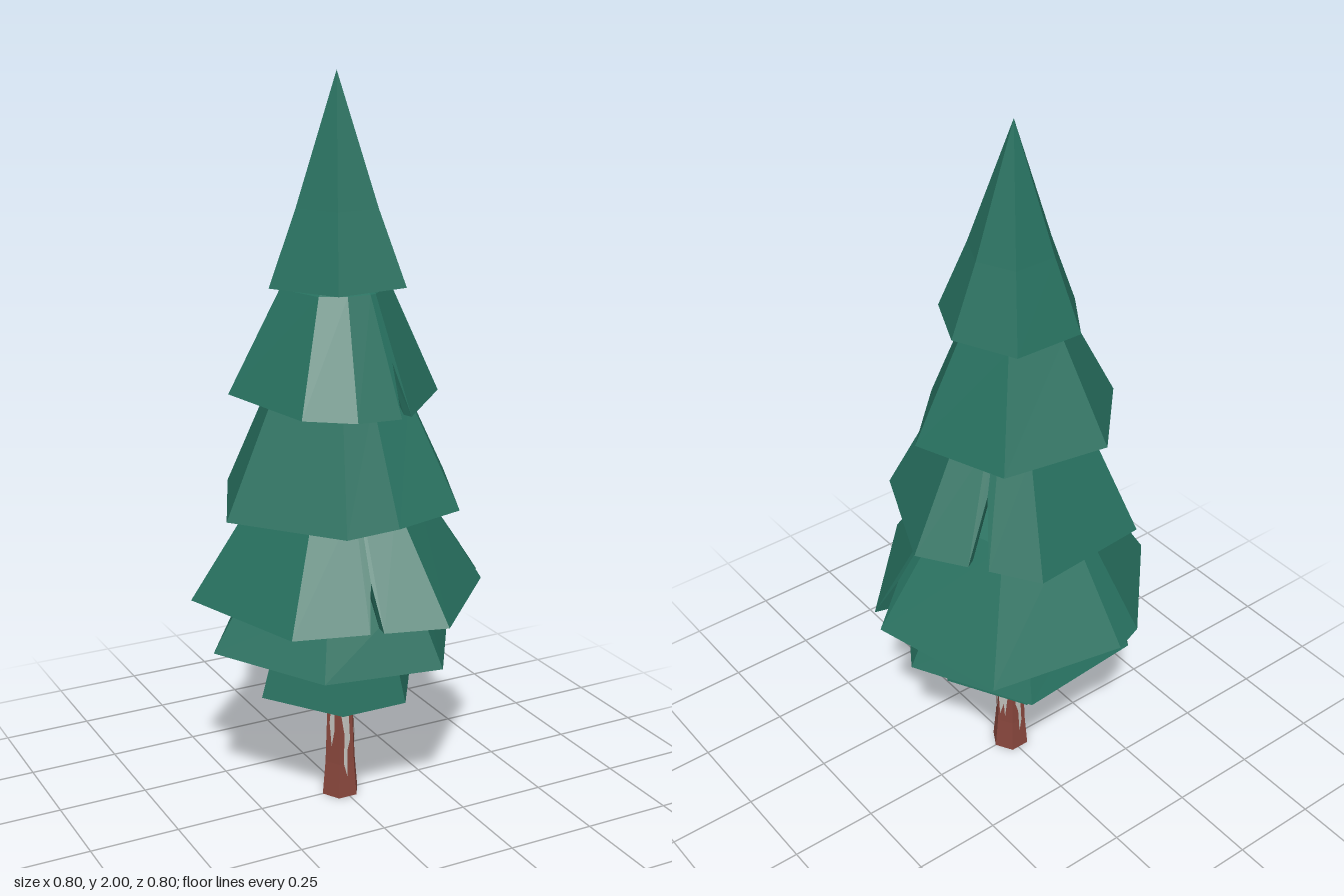
import * as THREE from 'three';

const needles = new THREE.MeshStandardMaterial({ color: 0x27705f });
needles.name = 'pine green';
const bark = new THREE.MeshStandardMaterial({ color: 0x87463c });
bark.name = 'bark brown';
const pale = new THREE.MeshStandardMaterial({ color: 0xbfbfba });
pale.name = 'pale grey';

const AXIS_X = -0.015;

// Flat-shaded skin over rings of equal length; a ring of one point is an apex
function skin(rings) {
  const pos = [];
  const n = Math.max(...rings.map(r => r.length));
  const at = (r, i) => r[i % r.length];
  for (let k = 0; k + 1 < rings.length; k++) {
    const a = rings[k], b = rings[k + 1];
    for (let i = 0; i < n; i++) {
      if (b.length > 1) pos.push(...at(b, i), ...at(a, i), ...at(b, i + 1));
      if (a.length > 1) pos.push(...at(a, i), ...at(a, i + 1), ...at(b, i + 1));
    }
  }
  const g = new THREE.BufferGeometry();
  g.setAttribute('position', new THREE.Float32BufferAttribute(pos, 3));
  g.computeVertexNormals();
  return g;
}

// Hollow skirt of boughs. Hem points are [x, z, notch], where notch is
// how far the hem is cut up the slope (0 = hem, 1 = upper ring).
function boughTier({ y, top, apex, scale, tilt = [0, 0], hem }) {
  const ring = (shrink, level) => hem.map(([x, z, notch = 0]) => {
    const t = level ?? notch;
    const s = shrink * (1 + (scale - 1) * t);
    const base = y + tilt[0] * x + tilt[1] * z;
    return [AXIS_X + (x - AXIS_X) * s, base + (top - base) * t, z * s];
  });
  return skin([
    [[AXIS_X, apex, 0]],
    ring(1, 1),
    ring(1),
    ring(0.9),
    [[AXIS_X, top, 0]],
  ]);
}

const tiers = [
  { y: 0.335, top: 0.52, apex: 0.6, scale: 0.78, tilt: [0, -0.02],
    hem: [[-0.245, 0], [-0.12, -0.17], [0.09, -0.2], [0.205, 0.02], [0.09, 0.2], [-0.1, 0.2]] },
  { y: 0.47, top: 0.66, apex: 0.75, scale: 0.72, tilt: [-0.05, 0],
    hem: [[-0.38, -0.01], [-0.19, -0.3], [0.16, -0.31], [0.325, 0.02], [0.14, 0.31], [-0.2, 0.29]] },
  { y: 0.613, top: 0.91, apex: 1.0, scale: 0.53, tilt: [0, 0.015],
    hem: [[-0.402, -0.105], [-0.155, -0.37], [-0.07, -0.4], [0.302, -0.327], [0.402, 0.047],
      [0.39, 0.09, 0.37], [0.375, 0.115], [0.105, 0.398], [-0.06, 0.35], [-0.073, 0.345, 0.4],
      [-0.095, 0.34], [-0.29, 0.285]] },
  { y: 0.88, top: 1.18, apex: 1.3, scale: 0.58, tilt: [0.04, 0],
    hem: [[-0.352, 0.03], [-0.21, -0.287], [0.14, -0.325], [0.223, -0.205], [0.235, -0.18, 0.6],
      [0.255, -0.16], [0.34, -0.04], [0.2, 0.28], [0, 0.318], [-0.15, 0.318]] },
  { y: 1.165, top: 1.45, apex: 1.55, scale: 0.52, tilt: [-0.03, -0.05],
    hem: [[-0.295, -0.075], [-0.1, -0.28], [0.18, -0.215], [0.26, 0.057], [0.07, 0.25],
      [0.055, 0.255, 0.45], [0.035, 0.262], [-0.09, 0.262], [-0.215, 0.197]] },
  { y: 1.463, top: 1.66, apex: 2, scale: 0.6, tilt: [0.02, 0],
    hem: [[-0.203, -0.015], [-0.1, -0.165], [0.1, -0.165], [0.178, 0], [0.1, 0.165], [-0.1, 0.175]] },
];

// Trunk: six sides, flared at the foot
const TRUNK_X = -0.006;
const trunkProfile = [[0, 0.055], [0.1, 0.046], [0.34, 0.037], [0.6, 0.03]];
function trunkRadius(y) {
  for (let i = 1; i < trunkProfile.length; i++) {
    const [y0, r0] = trunkProfile[i - 1], [y1, r1] = trunkProfile[i];
    if (y <= y1) return r0 + (r1 - r0) * (y - y0) / (y1 - y0);
  }
  return 0.03;
}
function trunkRing(y) {
  const r = trunkRadius(y);
  return Array.from({ length: 6 }, (_, i) => {
    const a = i * Math.PI / 3;
    return [TRUNK_X + r * Math.cos(a), y, r * Math.sin(a)];
  });
}

// Peeled patch: outline of [u, y] on one trunk side, u from -1 to 1
function peeledPatch(side, outline) {
  const g = new THREE.ShapeGeometry(new THREE.Shape(outline.map(p => new THREE.Vector2(...p))));
  const p = g.attributes.position;
  const a = (side + 0.5) * Math.PI / 3;
  for (let i = 0; i < p.count; i++) {
    const r = trunkRadius(p.getY(i));
    const out = r * Math.cos(Math.PI / 6) + 0.002;
    const across = p.getX(i) * r / 2;
    p.setXYZ(i, TRUNK_X + out * Math.cos(a) + across * Math.sin(a), p.getY(i),
      out * Math.sin(a) - across * Math.cos(a));
  }
  g.computeVertexNormals();
  return g;
}

const longPeel = [[-0.6, 0.36], [-0.7, 0.24], [-0.3, 0.19], [-0.4, 0.1], [0, 0.06], [0.1, 0.14],
  [0.5, 0.17], [0.4, 0.25], [0.8, 0.29], [0.7, 0.36]];
const widePeel = [[-1, 0.36], [-1, 0.2], [-0.7, 0.13], [-0.2, 0.17], [0, 0.12], [0.3, 0.19],
  [0.2, 0.25], [0.7, 0.27], [0.6, 0.36]];
const chip = [[-0.2, 0.3], [-0.5, 0.22], [-0.1, 0.15], [0.3, 0.2], [0.2, 0.27]];
const flip = o => o.map(([u, y]) => [-u, y]);
const patches = [
  [0, flip(widePeel)], [1, longPeel], [5, widePeel], [4, flip(longPeel)], [2, chip],
];

export function createModel() {
  const tree = new THREE.Group();
  tree.name = 'pineTree';
  const add = (name, geometry, material) => {
    const m = new THREE.Mesh(geometry, material);
    m.name = name;
    tree.add(m);
  };

  add('trunk', skin(trunkProfile.map(([y]) => trunkRing(y)).reverse()), bark);

  // Cut face under the trunk
  const foot = new THREE.CircleGeometry(0.055, 6);
  foot.rotateX(Math.PI / 2);
  foot.translate(TRUNK_X, 0, 0);
  add('trunkFoot', foot, pale);

  patches.forEach(([side, outline], i) =>
    add(`peeledBark${i + 1}`, peeledPatch(side, outline), pale));

  tiers.forEach((t, i) => add(`boughTier${i + 1}`, boughTier(t), needles));
  return tree;
}
